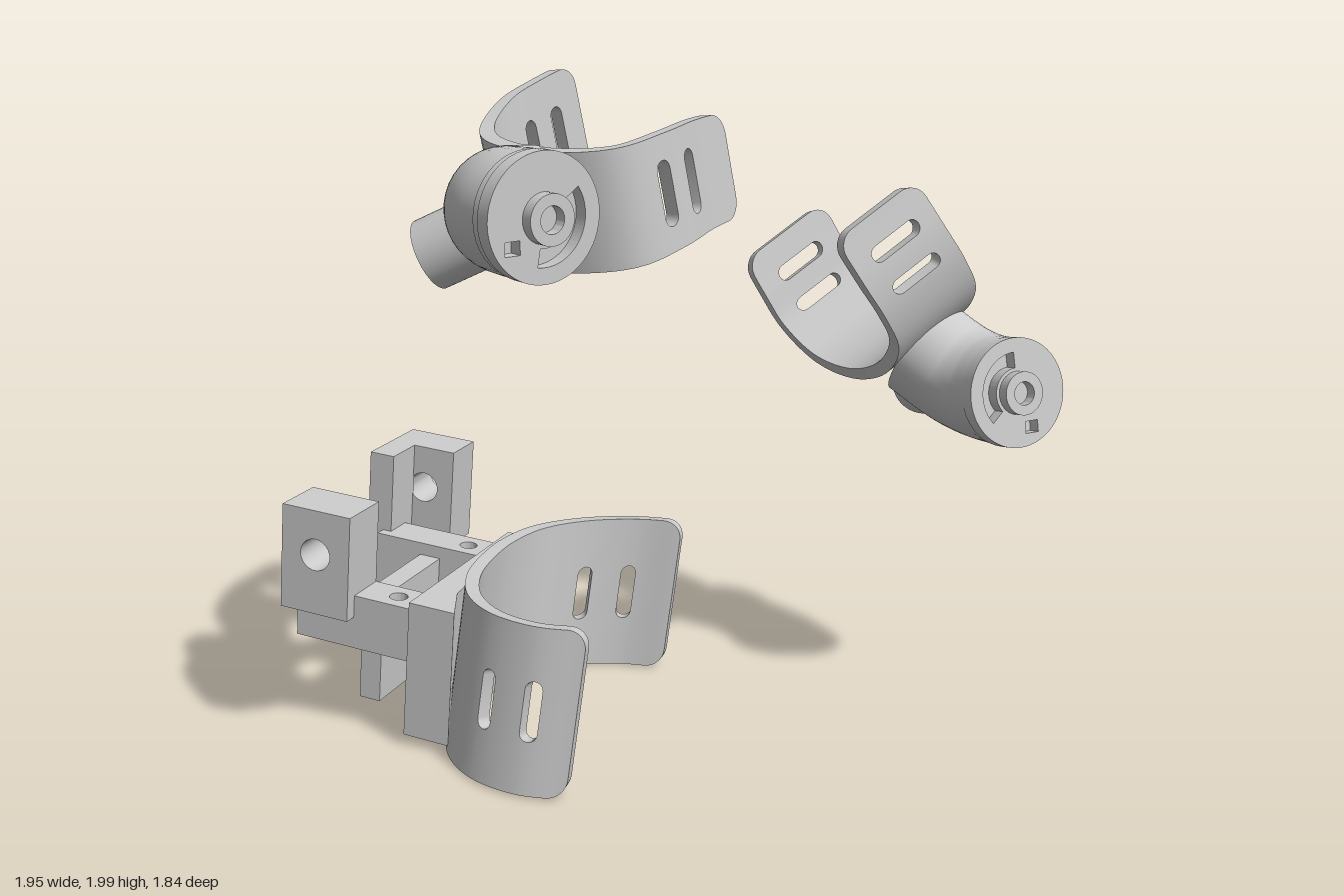
import * as THREE from 'three';
import { toCreasedNormals } from 'three/addons/utils/BufferGeometryUtils.js';

const V = (a) => new THREE.Vector3(...a);
const material = new THREE.MeshStandardMaterial({ color: 0xcccccc });

function add(parent, name, geometry) {
  const mesh = new THREE.Mesh(geometry, material);
  mesh.name = name;
  parent.add(mesh);
  return mesh;
}

// Curved strap plate with rounded ends and slots.
// slots: distances from the start (positive) or from the end (negative).
function band({ path, up, h0, h1, round, slots, slotLength, slotWidth = 0.05, thick = 0.042 }) {
  const curve = new THREE.CatmullRomCurve3(path.map(V));
  const L = curve.getLength(), U = V(up).normalize(), r = slotWidth / 2;
  const centres = slots.map((s) => (s < 0 ? L + s : s));
  const inSlot = (s) => centres.some((c) => Math.abs(s - c) < r - 1e-6);

  // stations along the strap, denser at slots and rounded ends
  let stations = [];
  for (let i = 0; i <= 56; i++) if (!inSlot((L * i) / 56)) stations.push((L * i) / 56);
  for (let k = 0; k <= 8; k++) {
    centres.forEach((c) => stations.push(c - r * Math.cos((k * Math.PI) / 8)));
    const e = round * (1 - Math.cos((k * Math.PI) / 16));
    stations.push(e, L - e);
  }
  stations = stations.sort((a, b) => a - b).filter((s, i, all) => i === 0 || s - all[i - 1] > 1e-4);

  // each column: lower strip, slot strip, upper strip
  const R = 10, cols = stations.map((s) => {
    const p = curve.getPointAt(s / L), n = curve.getTangentAt(s / L).cross(U).normalize();
    const e = Math.min(s, L - s, round);
    const H = THREE.MathUtils.lerp(h0, h1, s / L) - round + Math.sqrt(Math.max(0, round ** 2 - (round - e) ** 2));
    const d = Math.min(r, ...centres.map((c) => Math.abs(s - c)));
    const a = slotLength / 2 - r + Math.sqrt(Math.max(0, r * r - d * d));
    const at = (y, side) => p.clone().addScaledVector(U, y).addScaledVector(n, (side * thick) / 2);
    const ys = [];
    for (let j = 0; j <= 4; j++) ys.push(-H + ((H - a) * j) / 4);
    ys.push(0);
    for (let j = 0; j <= 4; j++) ys.push(a + ((H - a) * j) / 4);
    return { o: ys.map((y) => at(y, 1)), i: ys.map((y) => at(y, -1)) };
  });
  const solid = (i, j) => i >= 0 && j >= 0 && i < cols.length - 1 && j < R &&
    !((j === 4 || j === 5) && inSlot((stations[i] + stations[i + 1]) / 2));
  const out = [];
  const quad = (a, b, c, d) => [a, b, c, a, c, d].forEach((p) => out.push(p.x, p.y, p.z));
  for (let i = 0; i < cols.length - 1; i++) for (let j = 0; j < R; j++) {
    if (!solid(i, j)) continue;
    const A = cols[i], B = cols[i + 1], k = j + 1;
    quad(A.o[j], B.o[j], B.o[k], A.o[k]);
    quad(A.i[j], A.i[k], B.i[k], B.i[j]);
    if (!solid(i, j - 1)) quad(A.i[j], B.i[j], B.o[j], A.o[j]);
    if (!solid(i, j + 1)) quad(A.o[k], B.o[k], B.i[k], A.i[k]);
    if (!solid(i - 1, j)) quad(A.i[j], A.o[j], A.o[k], A.i[k]);
    if (!solid(i + 1, j)) quad(B.o[j], B.i[j], B.i[k], B.o[k]);
  }
  const g = new THREE.BufferGeometry();
  g.setAttribute('position', new THREE.Float32BufferAttribute(out, 3));
  return toCreasedNormals(g, 0.7);
}

const lathe = (pts, n = 40) =>
  toCreasedNormals(new THREE.LatheGeometry(pts.map((p) => new THREE.Vector2(...p)), n), 0.6);

// Elbow with a locking face at its mouth, plus a hollow branch pipe
function connector(parent, { elbow, normal, branch, groove, notch }) {
  const curve = new THREE.CatmullRomCurve3(elbow.map(V));
  add(parent, 'elbow', new THREE.TubeGeometry(curve, 32, 0.162, 40));

  const face = new THREE.Group();
  face.name = 'lockingFace';
  face.position.copy(V(elbow[0]));
  face.quaternion.setFromUnitVectors(new THREE.Vector3(0, 0, 1), V(normal).normalize());
  parent.add(face);
  const disc = new THREE.Shape().absarc(0, 0, 0.165, 0, Math.PI * 2);
  const arc = new THREE.Path().absarc(0, 0, 0.122, groove[0], groove[1], false);
  arc.absarc(0, 0, 0.075, groove[1], groove[0], true);
  arc.closePath();
  const square = new THREE.Path(), cx = 0.115 * Math.cos(notch), cy = 0.115 * Math.sin(notch);
  const corners = [[-1, -1], [1, -1], [1, 1], [-1, 1]].map(([x, y]) => new THREE.Vector2(cx + x * 0.022, cy + y * 0.018));
  square.setFromPoints(corners);
  square.closePath();
  disc.holes.push(arc, square);
  add(face, 'faceRing', toCreasedNormals(
    new THREE.ExtrudeGeometry(disc, { depth: 0.045, bevelEnabled: false, curveSegments: 32 }), 0.5)).position.z = -0.02;
  add(face, 'faceBase', new THREE.CylinderGeometry(0.162, 0.162, 0.03, 40).rotateX(Math.PI / 2)).position.z = -0.03;
  add(face, 'boss', lathe([[0.065, 0], [0.065, 0.06], [0.035, 0.06], [0.035, 0], [0, 0]]).rotateX(Math.PI / 2));

  const from = V(branch[0]), dir = V(branch[1]).sub(from), len = dir.length();
  const pipe = add(parent, 'branchPipe',
    lathe([[0.1, 0], [0.1, len], [0.055, len], [0.055, len - 0.14], [0, len - 0.14]]));
  pipe.position.copy(from);
  pipe.quaternion.setFromUnitVectors(new THREE.Vector3(0, 1, 0), dir.normalize());
}

const polygon = (pts) => new THREE.Shape(pts.map((p) => new THREE.Vector2(...p)));
const rect = (x0, y0, x1, y1) => polygon([[x0, y0], [x1, y0], [x1, y1], [x0, y1]]);
const bore = (shape, x, y, r) => {
  shape.holes.push(new THREE.Path().absarc(x, y, r, 0, Math.PI * 2));
  return shape;
};
const extrude = (shape, depth) =>
  toCreasedNormals(new THREE.ExtrudeGeometry(shape, { depth, bevelEnabled: false, curveSegments: 16 }), 0.5);
// plan shape (x, z) raised from y0 to y1
const slab = (shape, y0, y1) => extrude(shape, y1 - y0).rotateX(Math.PI / 2).translate(0, y1, 0);
// side shape (-z, y) spanning x0 to x1
const across = (shape, x0, x1) => extrude(shape, x1 - x0).rotateY(Math.PI / 2).translate(x0, 0, 0);

function createBracket() {
  const b = new THREE.Group();
  b.name = 'bracket';
  b.rotation.set(0.08, 0.49, 0, 'YXZ');
  b.position.set(-0.47, 0, -0.32);
  // backing plate hugging the curved cuff
  add(b, 'backPlate', slab(polygon([[-0.335, -0.01], [0.335, -0.01], [0.335, 0.1], [0.2, 0.07],
    [0, 0.06], [-0.2, 0.08], [-0.335, 0.14]]), 0.04, 0.47));
  // arms with screw holes
  for (const [x, z] of [[-0.25, -0.09], [0.23, -0.1]]) {
    add(b, 'arm', slab(bore(rect(x - 0.065, -0.4, x + 0.065, 0), x, z, 0.028), 0.27, 0.44));
  }
  add(b, 'crossPlate', slab(rect(-0.2, -0.24, 0.2, -0.17), 0.05, 0.4));
  // drilled end blocks
  add(b, 'narrowBlock', across(bore(rect(0.205, 0.37, 0.435, 0.7), 0.32, 0.56, 0.05), -0.355, -0.185));
  add(b, 'wideBlock', across(bore(rect(0.225, 0.37, 0.455, 0.7), 0.33, 0.56, 0.05), 0.34, 0.485));
  add(b, 'wideBlockTab', across(rect(0.37, 0.37, 0.455, 0.7), 0.2, 0.345));
  return b;
}

export function createModel() {
  const model = new THREE.Group();
  const assembly = (name) => {
    const g = new THREE.Group();
    g.name = name;
    model.add(g);
    return g;
  };

  // wide lower cuff with mounting bracket
  const lower = assembly('lowerCuff');
  add(lower, 'lowerStrap', band({
    path: [[0.25, -0.1], [0.16, -0.22], [0.02, -0.32], [-0.14, -0.36], [-0.29, -0.325], [-0.425, -0.25],
      [-0.56, -0.14], [-0.655, 0], [-0.685, 0.15], [-0.65, 0.3], [-0.56, 0.42]].map(([x, z]) => [x, 0.255, z]),
    up: [0.16, 1, 0.02], h0: 0.25, h1: 0.25, round: 0.06, slots: [0.16, 0.31, -0.13, -0.28], slotLength: 0.18,
  }));
  lower.add(createBracket());

  // upper cuff on the right
  const right = assembly('rightCuff');
  add(right, 'rightStrap', band({
    path: [[-0.01, 1.75, 0.4], [-0.14, 1.74, 0.44], [-0.3, 1.72, 0.5], [-0.45, 1.69, 0.5], [-0.55, 1.675, 0.39],
      [-0.59, 1.675, 0.22], [-0.53, 1.69, 0.05], [-0.38, 1.75, -0.06], [-0.24, 1.79, -0.1], [-0.11, 1.82, -0.13]],
    up: [-0.2, 1, -0.05], h0: 0.15, h1: 0.185, round: 0.06, slots: [0.22, 0.34, -0.11, -0.23], slotLength: 0.18,
  }));
  connector(right, {
    elbow: [[-0.81, 1.715, 0.6], [-0.79, 1.71, 0.47], [-0.72, 1.695, 0.35], [-0.6, 1.68, 0.28]],
    normal: [-0.05, 0, 1], branch: [[-0.62, 1.66, 0.26], [-0.77, 1.54, 0.06]],
    groove: [-1.75, 0.6], notch: 3.75,
  });

  // tilted cuff on the left
  const left = assembly('leftCuff');
  add(left, 'leftStrap', band({
    path: [[0.42, 1.6, 0.57], [0.5, 1.46, 0.62], [0.58, 1.36, 0.63], [0.67, 1.26, 0.6], [0.73, 1.16, 0.5],
      [0.76, 1.11, 0.35], [0.76, 1.13, 0.19], [0.73, 1.22, 0.07], [0.69, 1.32, 0.02], [0.65, 1.43, -0.03]],
    up: [0.82, 0.5, 0.2], h0: 0.155, h1: 0.165, round: 0.06, slots: [0.11, 0.23, -0.11, -0.23], slotLength: 0.18,
  }));
  connector(left, {
    elbow: [[0.765, 1.05, 0.84], [0.79, 1.04, 0.72], [0.79, 1.06, 0.61], [0.75, 1.13, 0.49]],
    normal: [-0.27, 0.18, 0.94], branch: [[0.74, 1.09, 0.54], [0.89, 0.965, 0.39]],
    groove: [1.6, 3.85], notch: -1.2,
  });
  return model;
}
